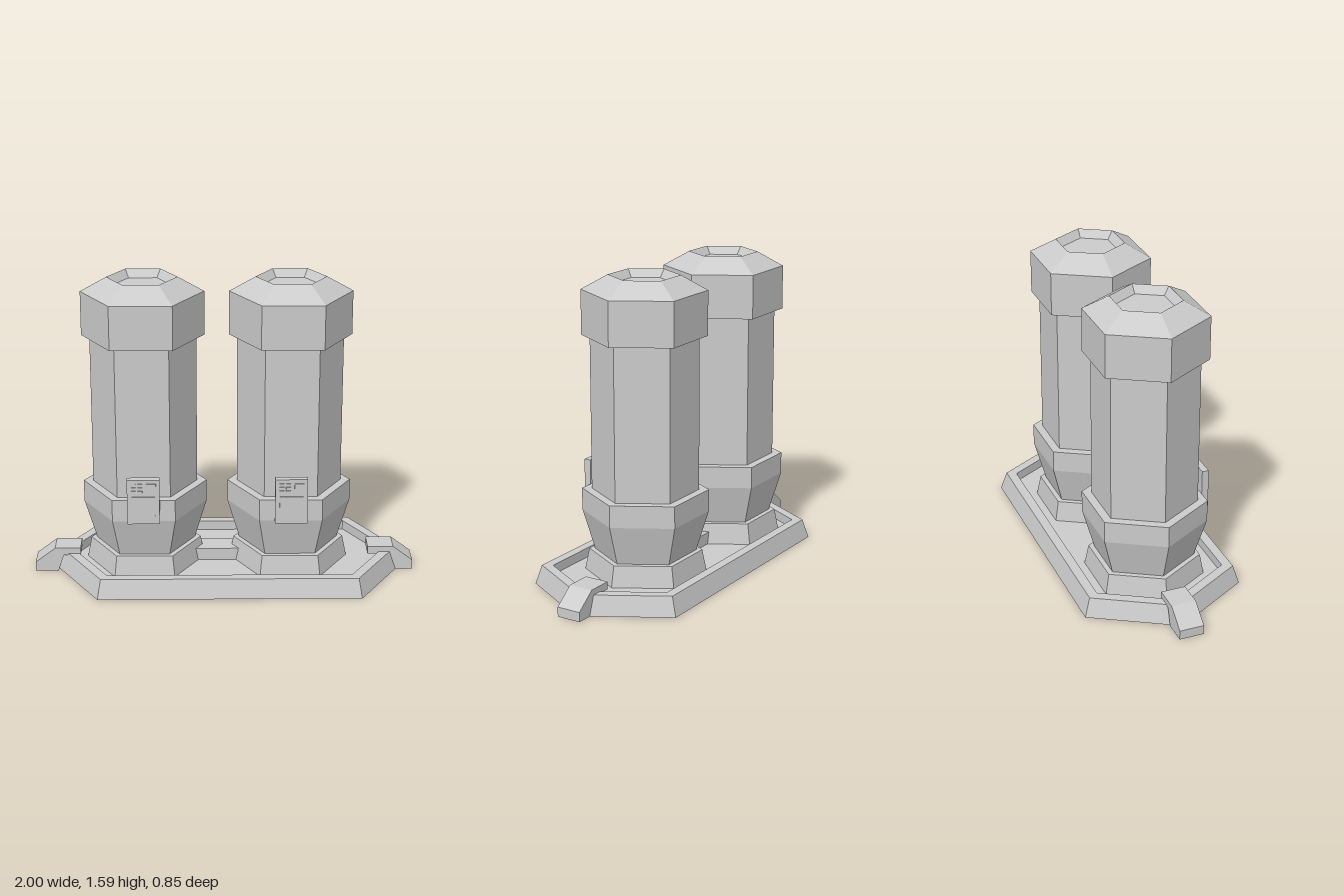
import * as THREE from 'three';

const mat = new THREE.MeshStandardMaterial({ color: 0xcccccc, flatShading: true, side: THREE.DoubleSide });

function mesh(name, geometry) {
  const g = geometry.index ? geometry.toNonIndexed() : geometry;
  g.computeVertexNormals();
  const m = new THREE.Mesh(g, mat);
  m.name = name;
  return m;
}

function box(name, x0, x1, y0, y1, z0, z1) {
  const g = new THREE.BoxGeometry(x1 - x0, y1 - y0, z1 - z0);
  g.translate((x0 + x1) / 2, (y0 + y1) / 2, (z0 + z1) / 2);
  return mesh(name, g);
}

// Six-sided turned part with corners on the x axis; profile is [radius, y] from bottom to top
function hexTurn(name, profile) {
  const pts = profile.map(([r, y]) => new THREE.Vector2(r, y));
  return mesh(name, new THREE.LatheGeometry(pts, 6, Math.PI / 2));
}

// Stretched hexagon outline with half depth h, as [x, z] corners
function outline(h) {
  const c = 0.435 + 0.577 * h, tip = 0.435 + 1.155 * h;
  return [[tip, 0], [c, -h], [-c, -h], [-tip, 0], [-c, h], [c, h]];
}

// Skin between successive outlines given as [halfDepth, y]
function skin(name, levels) {
  const pos = [], idx = [];
  for (const [h, y] of levels) for (const [x, z] of outline(h)) pos.push(x, y, z);
  for (let l = 0; l < levels.length - 1; l++) {
    for (let i = 0; i < 6; i++) {
      const a = l * 6 + i, b = l * 6 + (i + 1) % 6;
      idx.push(a, b, a + 6, b, b + 6, a + 6);
    }
  }
  const g = new THREE.BufferGeometry();
  g.setAttribute('position', new THREE.Float32BufferAttribute(pos, 3));
  g.setIndex(idx);
  return mesh(name, g);
}

const columns = [-0.415, 0.34];
const columnZ = -0.015;
const baseX = 0.025, baseZ = -0.005, floorY = 0.05;

function createBase() {
  const base = new THREE.Group();
  base.name = 'base';
  base.position.set(baseX, 0, baseZ);
  base.add(skin('baseRim', [[0.425, 0], [0.395, 0.1], [0.345, 0.1], [0.345, floorY]]));

  // Floor plate, open under each pedestal
  const shape = new THREE.Shape(outline(0.345).map(([x, z]) => new THREE.Vector2(x, -z)));
  for (const cx of columns) {
    const hole = [];
    for (let i = 0; i < 6; i++) {
      const a = -i * Math.PI / 3;
      hole.push(new THREE.Vector2(cx - baseX + 0.312 * Math.cos(a), baseZ - columnZ + 0.312 * Math.sin(a)));
    }
    shape.holes.push(new THREE.Path(hole));
  }
  const floor = new THREE.ShapeGeometry(shape);
  floor.rotateX(-Math.PI / 2);
  floor.translate(0, floorY, 0);
  base.add(mesh('baseFloor', floor));
  return base;
}

// Small panel with a keypad, a display and a cover plate
function createPanel() {
  const panel = new THREE.Group();
  panel.name = 'controlPanel';
  panel.add(box('panelBody', -0.083, 0.083, 0.37, 0.612, 0.282, 0.318));
  panel.add(box('panelCover', -0.06, 0.06, 0.415, 0.52, 0.316, 0.324));
  panel.add(box('panelDisplay', 0.015, 0.065, 0.54, 0.592, 0.316, 0.324));
  for (let i = 0; i < 2; i++) {
    for (let j = 0; j < 3; j++) {
      const x = -0.062 + i * 0.034, y = 0.54 + j * 0.019;
      panel.add(box('panelKey', x, x + 0.024, y, y + 0.013, 0.316, 0.324));
    }
  }
  return panel;
}

function createColumn() {
  const column = new THREE.Group();
  column.name = 'column';
  column.add(hexTurn('pedestal', [[0.312, floorY], [0.29, 0.16], [0, 0.16]]));
  column.add(hexTurn('collar', [[0.26, 0.16], [0.323, 0.37], [0.323, 0.485], [0.273, 0.485]]));
  column.add(hexTurn('shaft', [[0.273, 0.485], [0.273, 1.285]]));
  column.add(hexTurn('cap', [[0.273, 1.285], [0.315, 1.285], [0.315, 1.515], [0.18, 1.59], [0.145, 1.55], [0, 1.55]]));
  column.add(createPanel());
  return column;
}

// Bracket gripping the pointed end of the base
function createClamp() {
  const side = [[1, 0], [1, 0.05], [0.895, 0.13], [0.76, 0.13], [0.76, 0.09], [0.85, 0.09], [0.88, 0]];
  const shape = new THREE.Shape(side.map(([x, y]) => new THREE.Vector2(x, y)));
  const g = new THREE.ExtrudeGeometry(shape, { depth: 0.13, bevelEnabled: false });
  g.translate(0, 0, -0.067);
  return mesh('endClamp', g);
}

export function createModel() {
  const model = new THREE.Group();
  model.name = 'twinColumns';
  model.add(createBase());
  for (const x of columns) {
    const column = createColumn();
    column.position.set(x, 0, columnZ);
    model.add(column);
  }
  for (const turn of [0, Math.PI]) {
    const clamp = createClamp();
    clamp.rotation.y = turn;
    model.add(clamp);
  }
  // Link between the two pedestals
  model.add(box('link', -0.2, 0.125, 0.03, 0.115, -0.09, 0.045));
  return model;
}
